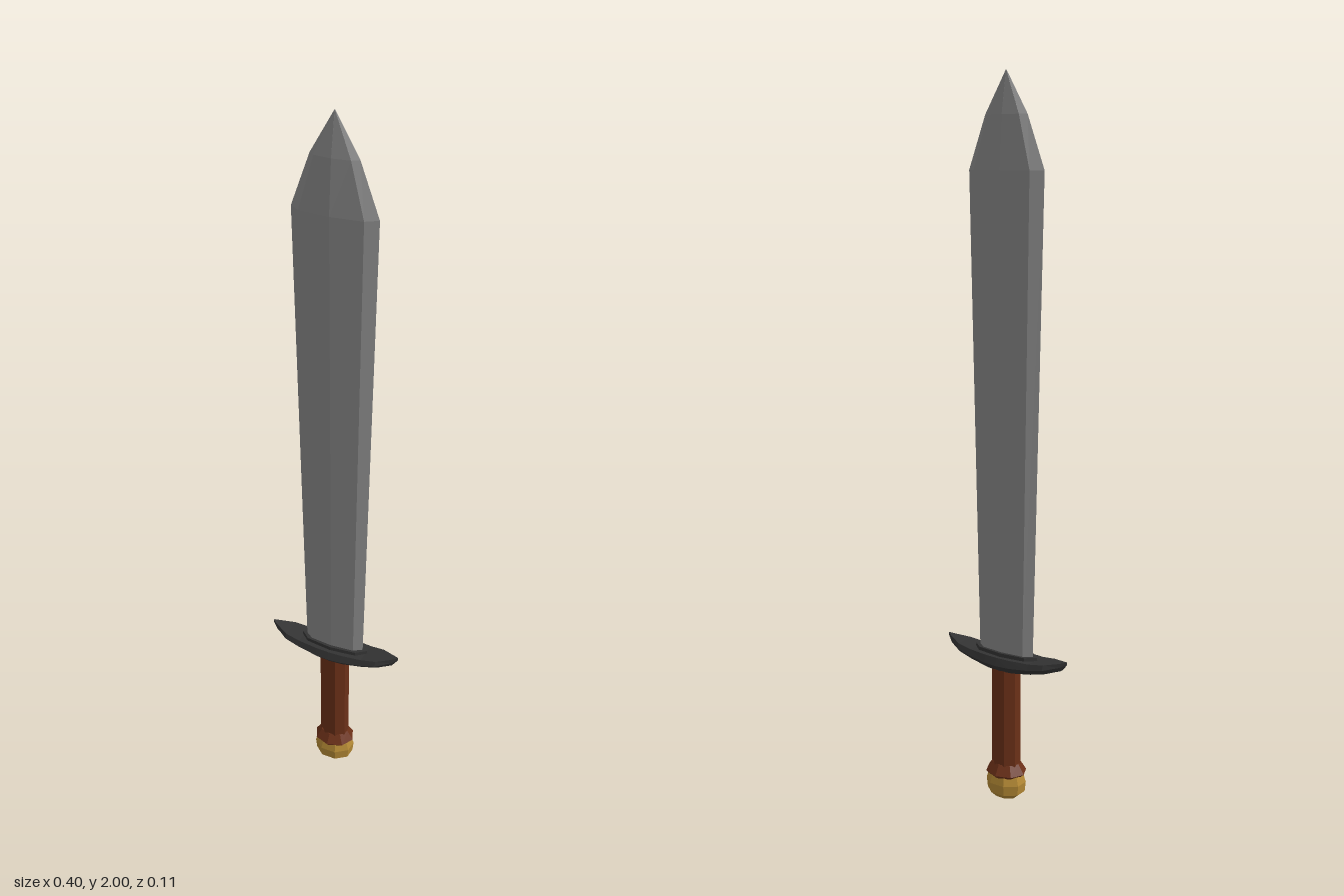
import * as THREE from 'three';

// Skins a list of equal-sized rings (counter-clockwise seen from the last ring) and caps both ends
function loft(name, rings, color) {
  const pos = [];
  const tri = (...pts) => pts.forEach((p) => pos.push(...p));
  const n = rings[0].length;
  for (let r = 0; r < rings.length - 1; r++) {
    for (let i = 0; i < n; i++) {
      const j = (i + 1) % n;
      const [a, b, c, d] = [rings[r][i], rings[r][j], rings[r + 1][j], rings[r + 1][i]];
      tri(a, b, c);
      tri(a, c, d);
    }
  }
  const first = rings[0], last = rings[rings.length - 1];
  for (let i = 1; i < n - 1; i++) {
    tri(first[0], first[i + 1], first[i]);
    tri(last[0], last[i], last[i + 1]);
  }
  const geo = new THREE.BufferGeometry();
  geo.setAttribute('position', new THREE.Float32BufferAttribute(pos, 3));
  geo.computeVertexNormals();
  const mesh = new THREE.Mesh(geo, new THREE.MeshStandardMaterial({ color, flatShading: true }));
  mesh.name = name;
  return mesh;
}

// Eight-sided horizontal ring with half-extents w and d; a flat or a corner faces front
function octagon(y, w, d, flatFront = true) {
  const k = flatFront ? 1 / Math.cos(Math.PI / 8) : 1;
  return Array.from({ length: 8 }, (_, i) => {
    const a = (i + (flatFront ? 0.5 : 0)) * Math.PI / 4;
    return [w * k * Math.cos(a), y, -d * k * Math.sin(a)];
  });
}

// Blade section: sharp sides, bevels and a shallow central ridge
function bladeRing(y, w, d) {
  return [[1, 0], [0.74, -0.72], [0, -1], [-0.74, -0.72], [-1, 0], [-0.74, 0.72], [0, 1], [0.74, 0.72]]
    .map(([x, z]) => [x * w, y, z * d]);
}

// Guard section across x: flat top, upright sides, chamfered underside
function guardRing(x, w, top, bottom) {
  const mid = bottom + (top - bottom) * 0.5;
  return [[-w, mid], [-w * 0.85, top], [w * 0.85, top], [w, mid], [w * 0.6, bottom], [-w * 0.6, bottom]]
    .map(([z, y]) => [x, y, z]);
}

export function createModel() {
  const sword = new THREE.Group();
  sword.name = 'sword';

  // Blade widens upward, then closes in a curved point
  sword.add(loft('blade', [
    [0.42, 0.09, 0.023], [1.75, 0.12, 0.031], [1.89, 0.067, 0.02], [2, 0.001, 0.001],
  ].map((s) => bladeRing(...s)), 0x888888));

  // Collar seating the blade on the guard
  sword.add(loft('bladeCollar', [
    bladeRing(0.415, 0.108, 0.034), bladeRing(0.437, 0.104, 0.032),
  ], 0x333333));

  // Crossguard, swept up to pointed ends
  const half = [[0.04, 0.05, 0.427, 0.386], [0.1, 0.042, 0.428, 0.395],
    [0.145, 0.036, 0.434, 0.406], [0.187, 0.012, 0.442, 0.42], [0.202, 0.002, 0.446, 0.438]];
  const stations = [
    ...half.map(([x, ...s]) => [-x, ...s]).reverse(),
    [0, 0.052, 0.427, 0.384],
    ...half,
  ];
  sword.add(loft('guard', stations.map((s) => guardRing(...s)), 0x333333));

  // Grip and its flared foot
  sword.add(loft('grip', [octagon(0.08, 0.04, 0.033), octagon(0.4, 0.04, 0.033)], 0x6b3018));
  sword.add(loft('gripFoot', [
    octagon(0.066, 0.05, 0.045, false), octagon(0.075, 0.061, 0.053, false), octagon(0.103, 0.043, 0.036, false),
  ], 0x6b3018));

  // Pommel
  sword.add(loft('pommel', [
    [0, 0.034, 0.028], [0.016, 0.052, 0.043], [0.045, 0.055, 0.046], [0.074, 0.047, 0.039],
  ].map((s) => octagon(...s)), 0xb58a35));

  return sword;
}
